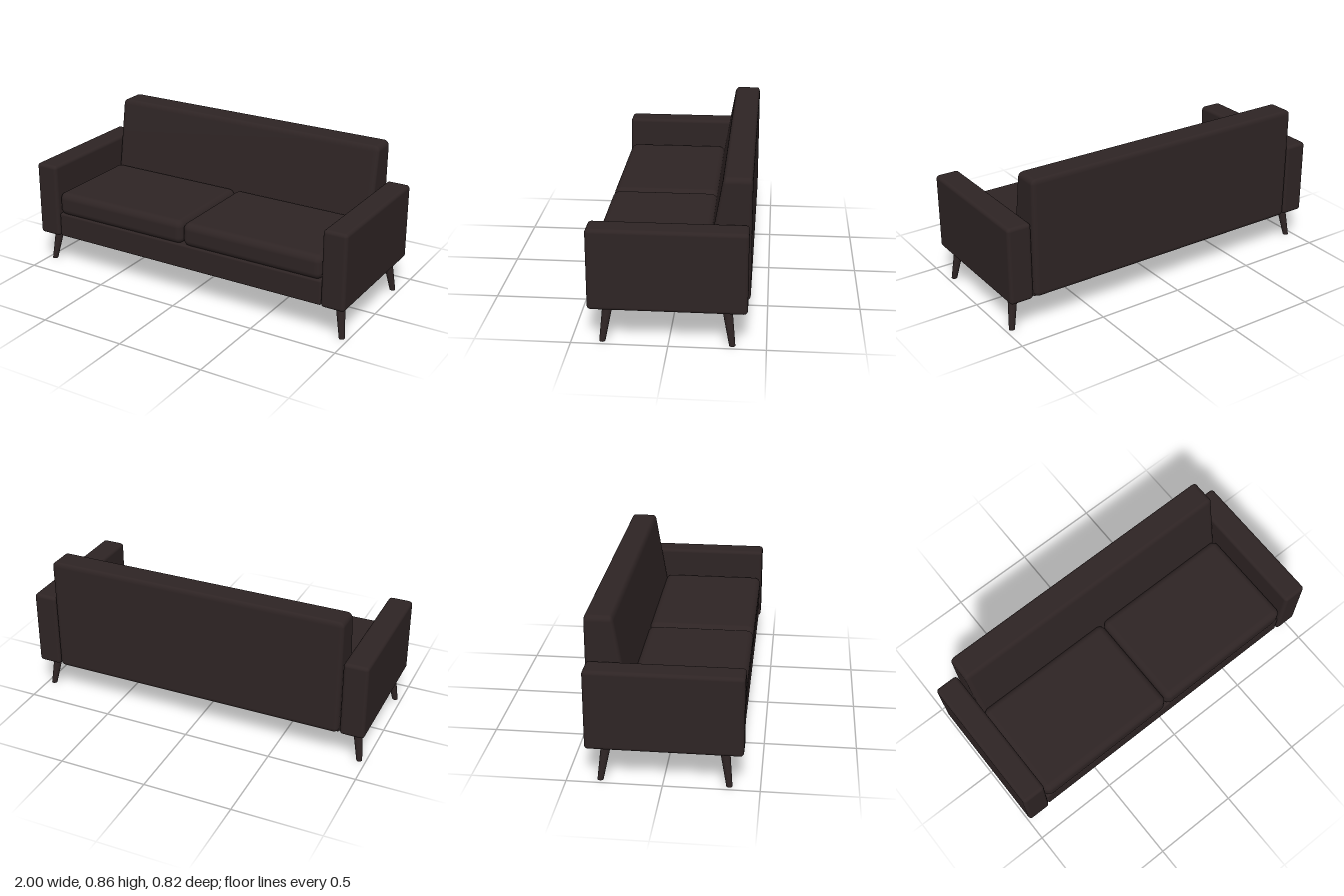
import * as THREE from 'three';
import { RoundedBoxGeometry } from 'three/addons/geometries/RoundedBoxGeometry.js';
import { mergeVertices } from 'three/addons/utils/BufferGeometryUtils.js';

const upholstery = new THREE.MeshStandardMaterial({ color: 0x2e2424 });
upholstery.name = 'dark brown upholstery';

// Rounded block given by its min and max corners
function block(name, [x0, y0, z0], [x1, y1, z1], radius) {
  const geo = new RoundedBoxGeometry(x1 - x0, y1 - y0, z1 - z0, 4, radius);
  geo.translate((x0 + x1) / 2, (y0 + y1) / 2, (z0 + z1) / 2);
  const mesh = new THREE.Mesh(geo, upholstery);
  mesh.name = name;
  return mesh;
}

// Move every vertex by a rule, then rebuild smooth normals
function reshape(geometry, rule) {
  geometry.deleteAttribute('uv');
  geometry.deleteAttribute('normal');
  const geo = mergeVertices(geometry);
  const pos = geo.attributes.position;
  const v = new THREE.Vector3();
  for (let i = 0; i < pos.count; i++) {
    rule(v.fromBufferAttribute(pos, i));
    pos.setXYZ(i, v.x, v.y, v.z);
  }
  geo.computeVertexNormals();
  return geo;
}

// Tapered leg leaning from its top centre to its foot
function leg(name, topX, topZ, footX, footZ) {
  const height = 0.2;
  const geo = new THREE.CylinderGeometry(0.027, 0.016, height, 20);
  geo.translate(0, height / 2, 0);
  const pos = geo.attributes.position;
  for (let i = 0; i < pos.count; i++) {
    const t = pos.getY(i) / height;
    pos.setX(i, pos.getX(i) + footX + (topX - footX) * t);
    pos.setZ(i, pos.getZ(i) + footZ + (topZ - footZ) * t);
  }
  geo.computeVertexNormals();
  const mesh = new THREE.Mesh(geo, upholstery);
  mesh.name = name;
  return mesh;
}

export function createModel() {
  const sofa = new THREE.Group();
  sofa.name = 'sofa';

  // Seat base
  sofa.add(block('seatBase', [-0.86, 0.19, -0.39], [0.86, 0.335, 0.402], 0.012));

  // Backrest, with a front face that leans back towards the top
  const back = block('backrest', [-0.857, 0.19, -0.412], [0.857, 0.863, -0.149], 0.03);
  back.geometry = reshape(back.geometry, (v) => {
    const t = (v.y - 0.19) / 0.673;
    v.z = -0.412 + (v.z + 0.412) * (1 - 0.44 * t);
  });
  sofa.add(back);

  for (const side of [1, -1]) {
    const label = side > 0 ? 'left' : 'right';

    // Arm
    const [ax0, ax1] = side > 0 ? [0.862, 1] : [-1, -0.862];
    sofa.add(block(label + 'Arm', [ax0, 0.188, -0.402], [ax1, 0.627, 0.413], 0.02));

    // Seat cushion
    const [cx0, cx1] = side > 0 ? [0.002, 0.857] : [-0.857, -0.002];
    sofa.add(block(label + 'SeatCushion', [cx0, 0.328, -0.198], [cx1, 0.467, 0.407], 0.04));

    // Legs
    sofa.add(leg(label + 'FrontLeg', side * 0.933, 0.313, side * 0.963, 0.341));
    sofa.add(leg(label + 'BackLeg', side * 0.933, -0.296, side * 0.963, -0.326));
  }
  return sofa;
}
